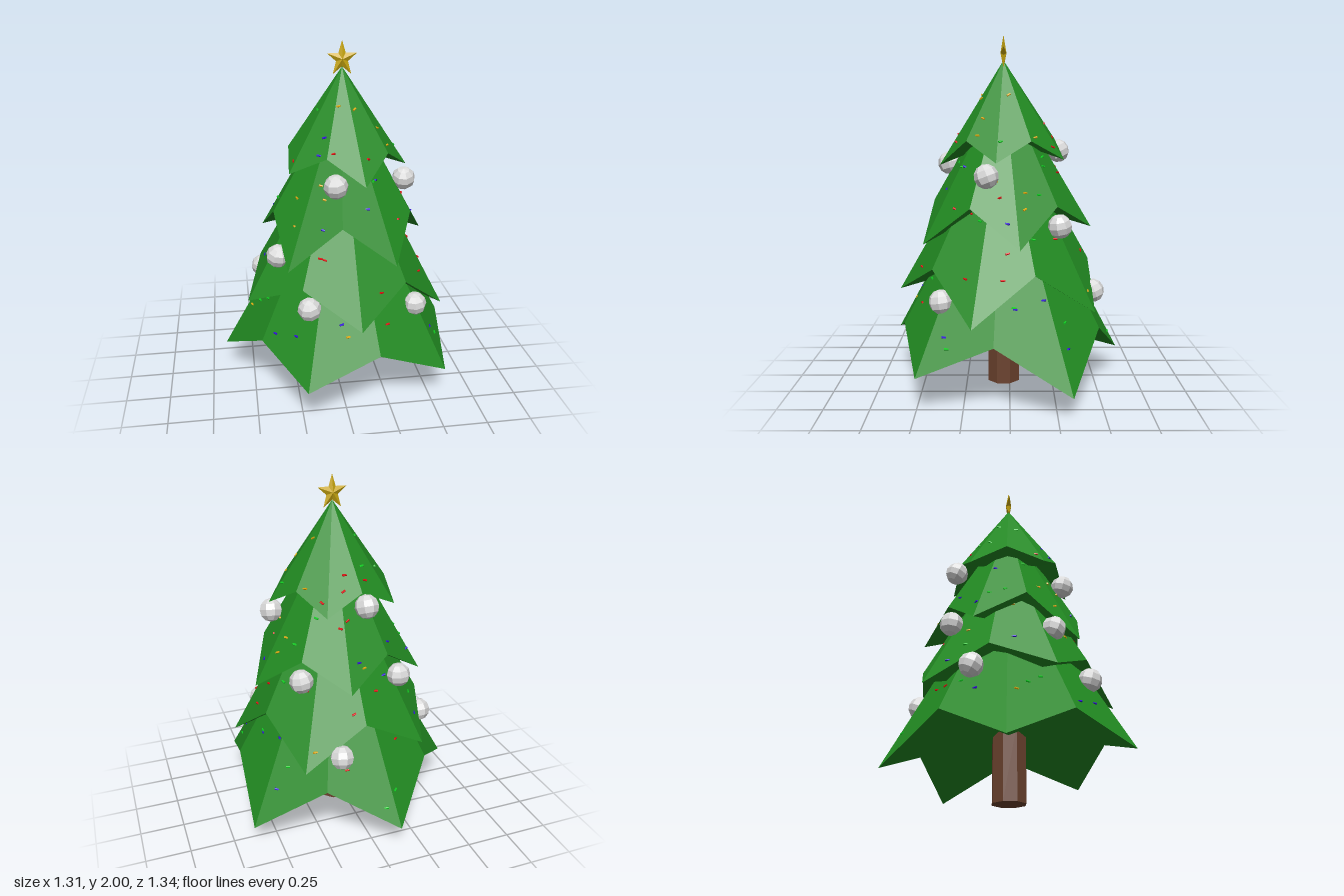
import * as THREE from 'three';

const AX = 0.04, AZ = 0.035; // axis of the tree
const paint = (name, color, extra = {}) =>
  Object.assign(new THREE.MeshStandardMaterial({ color, flatShading: true, ...extra }), { name });

// base height, apex height, tip radius, valley radius, first tip angle, tip heights
const TIERS = [
  { base: 0.38, apex: 1.45, tipR: 0.705, valleyR: 0.58, turn: -31, tips: [0.12, 0.20, 0.24, 0.18, 0.145] },
  { base: 0.73, apex: 1.60, tipR: 0.60, valleyR: 0.49, turn: 16, tips: [0.475, 0.555, 0.59, 0.54, 0.50] },
  { base: 1.07, apex: 1.76, tipR: 0.50, valleyR: 0.405, turn: -10, tips: [0.87, 0.855, 0.82, 0.89, 0.93] },
  { base: 1.42, apex: 1.86, tipR: 0.365, valleyR: 0.30, turn: 6, tips: [1.31, 1.28, 1.32, 1.32, 1.315] },
];

function fromTriangles(corners) {
  const g = new THREE.BufferGeometry().setFromPoints(corners);
  g.computeVertexNormals();
  return g;
}

// Rim of a tier: hanging tips alternate with higher valleys
function tierRim(t) {
  return Array.from({ length: 10 }, (_, i) => {
    const a = THREE.MathUtils.degToRad(t.turn + i * 36);
    const tip = i % 2 === 0;
    const r = tip ? t.tipR : t.valleyR;
    return new THREE.Vector3(AX + r * Math.cos(a), tip ? t.tips[i / 2] : t.base, AZ + r * Math.sin(a));
  });
}

function tierGeometry(t) {
  const rim = tierRim(t);
  const apex = new THREE.Vector3(AX, t.apex, AZ);
  const under = new THREE.Vector3(AX, t.base, AZ);
  const corners = [];
  rim.forEach((p, i) => {
    const q = rim[(i + 1) % 10];
    corners.push(apex, q, p, under, p, q);
  });
  return fromTriangles(corners);
}

// Five-pointed star, ridged on both faces
function starGeometry(R, r, depth) {
  const rim = Array.from({ length: 10 }, (_, i) => {
    const a = Math.PI / 2 + i * Math.PI / 5;
    const d = i % 2 ? r : R;
    return new THREE.Vector3(d * Math.cos(a) * 0.86, d * Math.sin(a), 0);
  });
  const front = new THREE.Vector3(0, 0, depth), back = new THREE.Vector3(0, 0, -depth);
  const corners = [];
  rim.forEach((p, i) => {
    const q = rim[(i + 1) % 10];
    corners.push(front, p, q, back, q, p);
  });
  return fromTriangles(corners);
}

export function createModel() {
  const model = new THREE.Group();
  model.name = 'decoratedTree';
  const green = paint('needleGreen', 0x228b22);
  const brown = paint('barkBrown', 0x6b422e);
  const white = paint('baubleWhite', 0xdadada);
  const gold = paint('starGold', 0xccaa11);
  const lights = [
    paint('lightRed', 0xdd1111), paint('lightBlue', 0x3311dd),
    paint('lightGreen', 0x11cc22), paint('lightAmber', 0xddaa11),
  ];
  const add = (parent, name, geometry, material, x = 0, y = 0, z = 0) => {
    const mesh = new THREE.Mesh(geometry, material);
    mesh.name = name;
    mesh.position.set(x, y, z);
    parent.add(mesh);
    return mesh;
  };

  // Trunk
  const trunk = add(model, 'trunk', new THREE.CylinderGeometry(0.098, 0.098, 0.42, 8), brown, AX, 0.21, AZ);
  trunk.rotation.y = Math.PI / 8;

  // Branch tiers
  TIERS.forEach((t, i) => add(model, `branchTier${i + 1}`, tierGeometry(t), green));

  // Star
  add(model, 'star', starGeometry(0.1, 0.04, 0.017), gold, AX, 1.9, AZ);

  // Baubles
  const baubles = new THREE.Group();
  baubles.name = 'baubles';
  model.add(baubles);
  const ball = new THREE.SphereGeometry(0.067, 8, 6);
  [
    [-0.04, 1.28, 0.35], [0.38, 1.24, 0.125], [-0.04, 1.35, -0.28],
    [-0.35, 0.86, 0.25], [0.33, 0.965, -0.27], [-0.23, 0.925, -0.30],
    [0.41, 0.57, 0.37], [-0.20, 0.625, 0.46], [0.17, 0.57, -0.47], [-0.42, 0.61, -0.19],
  ].forEach(([x, y, z], i) => {
    const b = add(baubles, 'bauble', ball, white, x, y, z);
    b.rotation.set(0.25, i * 0.9, 0.15);
  });

  // Small lights scattered over the exposed band of each tier
  const strand = new THREE.Group();
  strand.name = 'smallLights';
  model.add(strand);
  let seed = 7;
  const rnd = () => (seed = (seed * 16807) % 2147483647) / 2147483647;
  const bulb = new THREE.CylinderGeometry(0.006, 0.006, 0.024, 6);
  const up = new THREE.Vector3(0, 1, 0);
  TIERS.forEach((t, k) => {
    const rim = tierRim(t);
    const apex = new THREE.Vector3(AX, t.apex, AZ);
    const reach = [0.3, 0.38, 0.48, 0.6][k];
    rim.forEach((p, i) => {
      const q = rim[(i + 1) % 10];
      const count = k === 3 ? 2 : 3;
      for (let n = 0; n < count; n++) {
        const along = 0.1 + 0.8 * rnd();
        const rise = 0.06 + reach * rnd();
        const pos = p.clone().lerp(q, along).lerp(apex, rise);
        const m = add(strand, 'smallLight', bulb, lights[Math.floor(rnd() * 4)], pos.x, pos.y, pos.z);
        const lean = q.clone().sub(p).setY((rnd() - 0.5) * 0.25).normalize();
        m.quaternion.setFromUnitVectors(up, lean);
      }
    });
  });
  return model;
}
